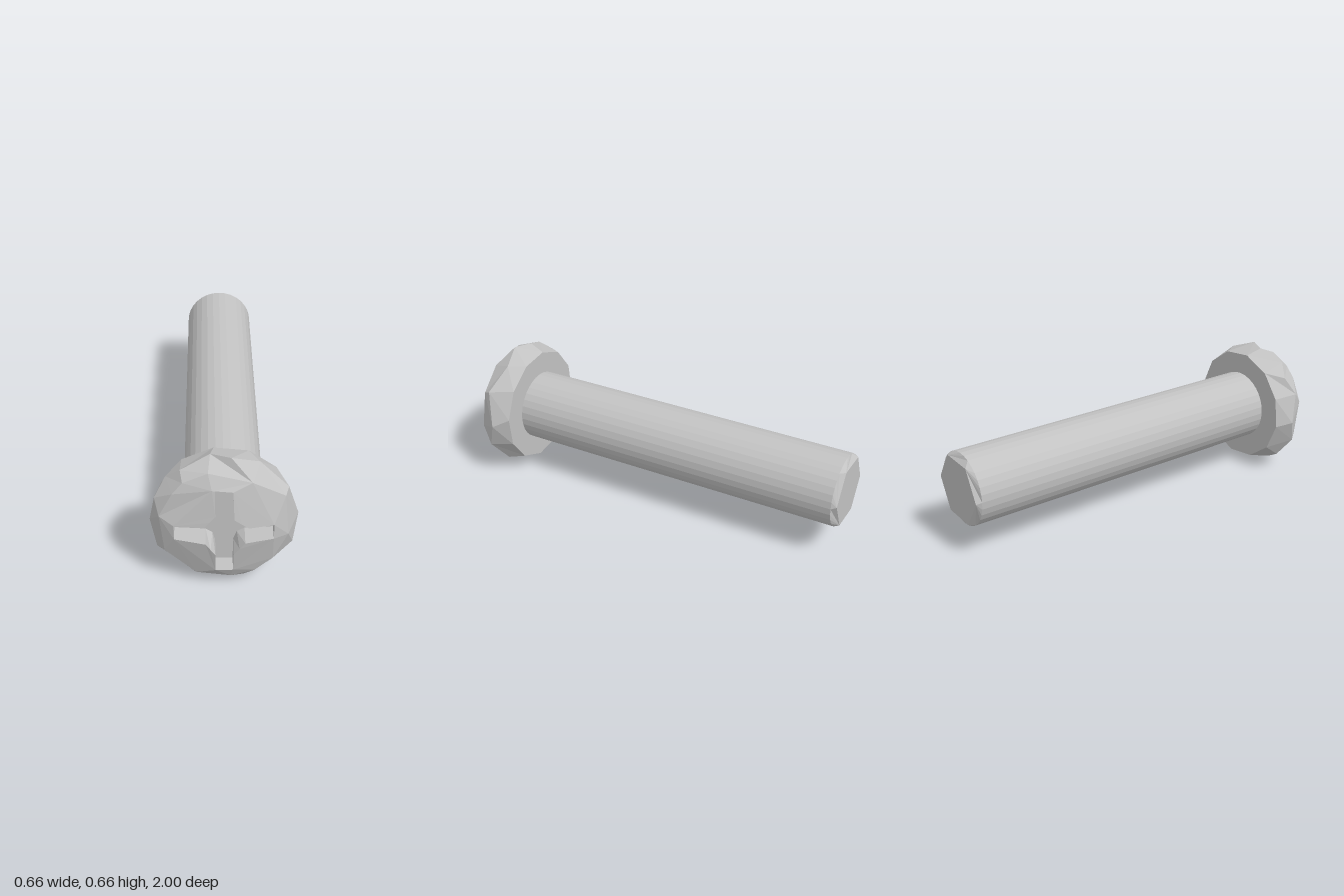
import * as THREE from 'three';

const TAU = Math.PI * 2;
const angleOf = (p) => (Math.atan2(p[1], p[0]) + TAU) % TAU;

// Ring of [x, y, z] points sorted by angle around the screw axis
const ring = (pts, z) =>
  pts.map(([x, y], i) => [x, y, z(Math.hypot(x, y), i)]).sort((a, b) => angleOf(a) - angleOf(b));

const circle = (n, r, z, start = 0) =>
  ring(Array.from({ length: n }, (_, i) => {
    const a = start + (i / n) * TAU;
    return [r * Math.cos(a), r * Math.sin(a)];
  }), () => z);

// Triangles joining a front ring to a back ring, whatever their point counts
function stitch(front, back) {
  const out = [];
  const at = (r, i) => r[i % r.length];
  const ang = (r, i) => angleOf(at(r, i)) + (i >= r.length ? TAU : 0);
  let i = 0, j = 0;
  while (i < front.length || j < back.length) {
    const a = at(front, i), b = at(back, j);
    const stepFront = j >= back.length || (i < front.length && ang(front, i + 1) < ang(back, j + 1));
    if (stepFront) out.push(a, b, at(front, ++i));
    else out.push(a, b, at(back, ++j));
  }
  return out;
}

// Flat fill of a counter-clockwise outline, facing +z (or -z when flipped)
function fill(outline, flip = false) {
  const faces = THREE.ShapeUtils.triangulateShape(outline.map((p) => new THREE.Vector2(p[0], p[1])), []);
  return faces.flatMap(([a, b, c]) => (flip ? [a, c, b] : [a, b, c]).map((i) => outline[i]));
}

function part(name, material, ...triangleLists) {
  const g = new THREE.BufferGeometry();
  g.setAttribute('position', new THREE.Float32BufferAttribute(triangleLists.flat(2), 3));
  g.computeVertexNormals();
  const mesh = new THREE.Mesh(g, material);
  mesh.name = name;
  return mesh;
}

export function createModel() {
  const steel = new THREE.MeshStandardMaterial({ color: 0xc2c2c2 });
  steel.name = 'steelGrey';
  steel.flatShading = true;

  const dome = (r) => 0.865 + 0.137 * Math.sqrt(Math.max(0, 1 - (r / 0.335) ** 2.4));

  // Irregular faceted rim of the head: widest ring, then the dome edge
  const widest = ring([
    [0.33, 0], [0.28, 0.175], [0.155, 0.28], [0.03, 0.328], [-0.06, 0.322], [-0.19, 0.267],
    [-0.255, 0.205], [-0.305, 0.12], [-0.331, -0.03], [-0.3, -0.15], [-0.23, -0.25],
    [-0.13, -0.31], [-0.02, -0.328], [0.09, -0.325], [0.215, -0.25], [0.305, -0.13],
  ], (r, i) => 0.865 + (i % 2 ? 0.02 : -0.02));
  const domeEdge = ring([
    [0.265, 0.155], [0.12, 0.245], [-0.07, 0.285], [-0.18, 0.235], [-0.225, 0.18], [-0.285, 0.06],
    [-0.265, -0.135], [-0.125, -0.265], [0.03, -0.28], [0.135, -0.25], [0.215, -0.175], [0.28, -0.04],
  ], dome);
  const headBack = circle(12, 0.298, 0.76, 0.15);

  // Cross-shaped slot: straight inner corners at the top, pulled in at the floor
  const cross = [
    [0.215, -0.042], [0.215, 0.035], [0.105, 0.035], [0.042, 0.082],
    [0.037, 0.213], [-0.054, 0.22], [-0.04, 0.1], [-0.09, 0.04],
    [-0.222, 0.032], [-0.22, -0.042], [-0.082, -0.052], [-0.04, -0.115],
    [-0.04, -0.224], [0.038, -0.222], [0.04, -0.11], [0.09, -0.048],
  ];
  const outline = (pull) => cross.flatMap((p, i) => {
    if (i % 4 !== 2) return [p];
    const q = cross[i + 1];
    return [p, [(p[0] + q[0]) / 2 * pull, (p[1] + q[1]) / 2 * pull]];
  });
  const slotTop = ring(outline(1), dome);
  const floorPts = outline(0.86).map((p) => (p[0] === -0.054 ? [-0.04, 0.215] : p));
  const slotFloor = ring(floorPts, () => 0.89);

  // Face around the slot: one fill per quadrant, then out from the arm ends
  const armEnds = slotTop.filter((_, i) => i % 5 === 0 || i % 5 === 4);
  const quadrants = [0, 5, 10, 15].map((i) => fill(slotTop.slice(i, i + 5).reverse()));

  // Shaft and its hexagonal chamfered end
  const shaftFront = circle(32, 0.181, 0.76);
  const shaftBack = circle(32, 0.181, -0.975);
  const tip = circle(6, 0.168, -1, 0.05);

  const screw = new THREE.Group();
  screw.name = 'screw';
  screw.position.y = 0.329;
  screw.add(
    part('head', steel, ...quadrants, stitch(armEnds, domeEdge), stitch(domeEdge, widest),
      stitch(widest, headBack), stitch(headBack, shaftFront)),
    part('driveSlot', steel, stitch(slotFloor, slotTop), fill(slotFloor)),
    part('shaft', steel, stitch(shaftFront, shaftBack)),
    part('shaftTip', steel, stitch(shaftBack, tip), fill(tip, true)),
  );

  const model = new THREE.Group();
  model.name = 'machineScrew';
  model.add(screw);
  return model;
}
